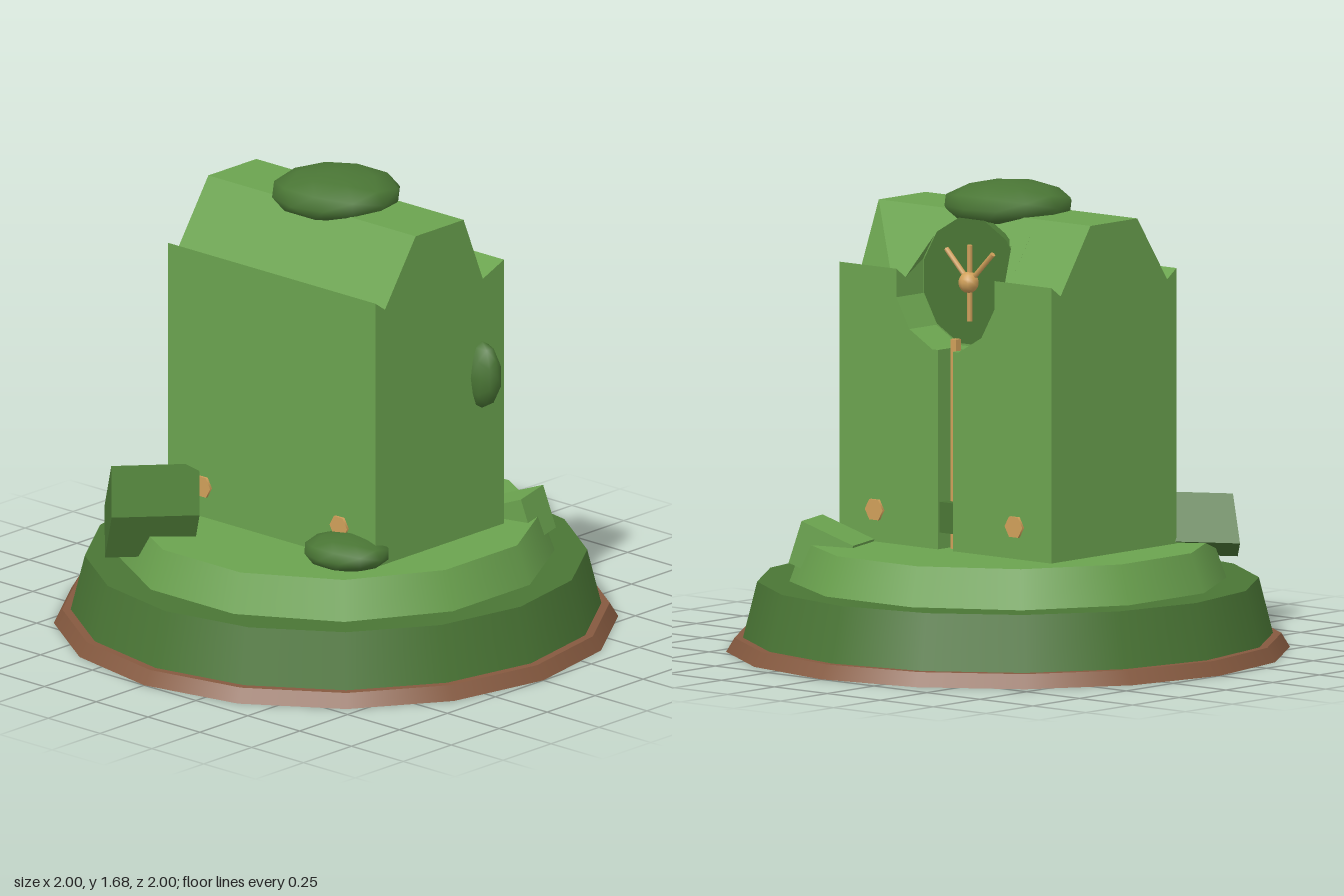
import * as THREE from 'three';

const mat = (name, color) => Object.assign(new THREE.MeshStandardMaterial({ color }), { name });

// Flat-shaded solid through equal-length 2D outlines placed along an axis
function loft(sections, axis) {
  const n = sections[0].pts.length;
  const place = (p, at) => axis === 'z' ? [p[0], p[1], at] : [at, p[1], p[0]];
  const pos = sections.flatMap(s => s.pts.flatMap(p => place(p, s.at)));
  const idx = [];
  for (let s = 0; s < sections.length - 1; s++) {
    for (let i = 0; i < n; i++) {
      const a = s * n + i, b = s * n + (i + 1) % n;
      idx.push(a, b, b + n, a, b + n, a + n);
    }
  }
  // End caps, wound to agree with the sides
  const cap = (k, atEnd) => {
    const pts = sections[k].pts.map(p => new THREE.Vector2(p[0], p[1]));
    const ccw = THREE.ShapeUtils.area(pts) > 0;
    for (const t of THREE.ShapeUtils.triangulateShape(pts, [])) {
      const [p, q, r] = t.map(i => pts[i]);
      const triCcw = (q.x - p.x) * (r.y - p.y) - (q.y - p.y) * (r.x - p.x) > 0;
      const order = (triCcw === ccw) === atEnd ? t : [t[0], t[2], t[1]];
      idx.push(...order.map(i => i + k * n));
    }
  };
  cap(0, false);
  cap(sections.length - 1, true);
  // Turn the whole solid outward if its signed volume is negative
  const v = i => new THREE.Vector3(pos[i * 3], pos[i * 3 + 1], pos[i * 3 + 2]);
  let volume = 0;
  for (let i = 0; i < idx.length; i += 3) volume += v(idx[i]).dot(v(idx[i + 1]).cross(v(idx[i + 2])));
  if (volume < 0) idx.reverse();
  const g = new THREE.BufferGeometry();
  g.setAttribute('position', new THREE.Float32BufferAttribute(pos, 3));
  g.setIndex(idx);
  const flat = g.toNonIndexed();
  flat.computeVertexNormals();
  return flat;
}

export function createModel() {
  const group = new THREE.Group();
  const stone = mat('lightGreen', 0x6ba34f);
  const moss = mat('darkGreen', 0x4a7635);
  const earth = mat('brown', 0x85593f);
  const gold = mat('tan', 0xd0a05a);

  const add = (name, geometry, material, x = 0, y = 0, z = 0) => {
    const m = new THREE.Mesh(geometry, material);
    m.name = name;
    m.position.set(x, y, z);
    group.add(m);
    return m;
  };

  // Stepped round base
  add('baseRim', new THREE.CylinderGeometry(0.97, 1, 0.05, 16), earth, 0, 0.025);
  add('lowerTier', new THREE.CylinderGeometry(0.89, 0.94, 0.2, 16), moss, 0, 0.15);
  add('upperTier', new THREE.CylinderGeometry(0.725, 0.775, 0.14, 12, 1, false, Math.PI / 12), stone, 0, 0.32);

  // Block with sloping shoulders; valley is the right-hand gutter corner
  const profile = (valley = [0.285, 1.34]) => [
    [-0.335, 0.38], [0.335, 0.38], [0.335, 1.375], valley,
    [0.125, 1.575], [-0.125, 1.575], [-0.285, 1.34], [-0.335, 1.375],
  ];
  add('blockBack', loft([{ at: -0.5, pts: profile() }, { at: -0.25, pts: profile() }], 'z'), stone);
  add('blockFront', loft([
    { at: 0.25, pts: profile() },
    { at: 0.3, pts: profile() },
    { at: 0.5, pts: profile([0.225, 1.33]) },
  ], 'z'), stone);
  const core = [
    [-0.335, 0.38], [0.19, 0.38], [0.19, 1.48], [0.125, 1.575],
    [-0.125, 1.575], [-0.285, 1.34], [-0.335, 1.375],
  ];
  add('blockCore', loft([{ at: -0.25, pts: core }, { at: 0.25, pts: core }], 'z'), stone);

  // Cheeks around the round niche and the slot below it
  for (const s of [1, -1]) {
    const cheek = (at, h, zTop) => ({
      at,
      pts: [
        [0.25, 0.38], [0.25, h], [zTop, h], [0.232, Math.min(1.397, h)], [0.232, 1.273],
        [0.17, 1.165], [0.062, 1.103], [0.035, 1.103], [0.035, 0.38],
      ].map(([z, y]) => [z * s, y]),
    });
    add('nicheCheek', loft([cheek(0.19, 1.48, 0.184), cheek(0.285, 1.34, 0.232), cheek(0.335, 1.375, 0.232)], 'x'), stone);
  }
  add('slotBack', new THREE.BoxGeometry(0.08, 0.723, 0.07), stone, 0.225, 0.7415, 0);

  // Dark disc at the back of the niche
  add('nicheDisc', new THREE.CylinderGeometry(0.232, 0.232, 0.03, 12, 1, false, Math.PI / 12).rotateZ(-Math.PI / 2),
    moss, 0.18, 1.335, 0);

  // Emblem: a ball with four rods
  add('emblemBall', new THREE.SphereGeometry(0.038, 10, 8), gold, 0.21, 1.335, 0);
  for (const [z, y] of [[0.11, 1.445], [0, 1.468], [-0.11, 1.445], [0, 1.195]]) {
    const dir = new THREE.Vector3(0, y - 1.335, z);
    const rod = add('emblemRod', new THREE.CylinderGeometry(0.01, 0.01, dir.length(), 6),
      gold, 0.205, (y + 1.335) / 2, z / 2);
    rod.quaternion.setFromUnitVectors(new THREE.Vector3(0, 1, 0), dir.normalize());
  }

  // Pole standing in the slot, with its clamp
  add('slotPole', new THREE.BoxGeometry(0.025, 0.75, 0.026), gold, 0.28, 0.765, 0);
  add('poleClamp', new THREE.BoxGeometry(0.04, 0.11, 0.066), moss, 0.31, 0.505, 0);

  // Six-sided studs on both flanks
  for (const x of [0.335, -0.335]) {
    for (const z of [0.33, -0.33]) {
      add('stud', new THREE.CylinderGeometry(0.042, 0.042, 0.02, 6).rotateZ(-Math.PI / 2), gold, x, 0.505, z);
    }
  }

  // Moss clumps
  const clump = (name, p, r) => add(name, new THREE.IcosahedronGeometry(1, 1), moss, ...p).scale.set(...r);
  clump('topMoss', [0, 1.597, 0], [0.235, 0.083, 0.235]);
  clump('groundMoss', [-0.36, 0.432, 0.385], [0.148, 0.062, 0.165]);
  clump('frontMoss', [0.22, 0.975, 0.5], [0.058, 0.125, 0.08]);

  // Tilted fallen stones, each given by its three edge vectors
  const rubble = (name, material, c, ...edges) => {
    const m = new THREE.Matrix4().makeBasis(...edges.map(e => new THREE.Vector3(...e))).setPosition(...c);
    add(name, new THREE.BoxGeometry(1, 1, 1).applyMatrix4(m), material);
  };
  rubble('backRubble', moss, [-0.505, 0.435, -0.42], [0.21, 0.01, 0.23], [-0.03, 0.17, 0.06], [-0.225, -0.09, 0.21]);
  rubble('frontRubble', stone, [0.4575, 0.36, 0.43], [0.175, 0, -0.055], [-0.015, 0.152, -0.048], [0.05, 0.075, 0.2]);

  return group;
}
